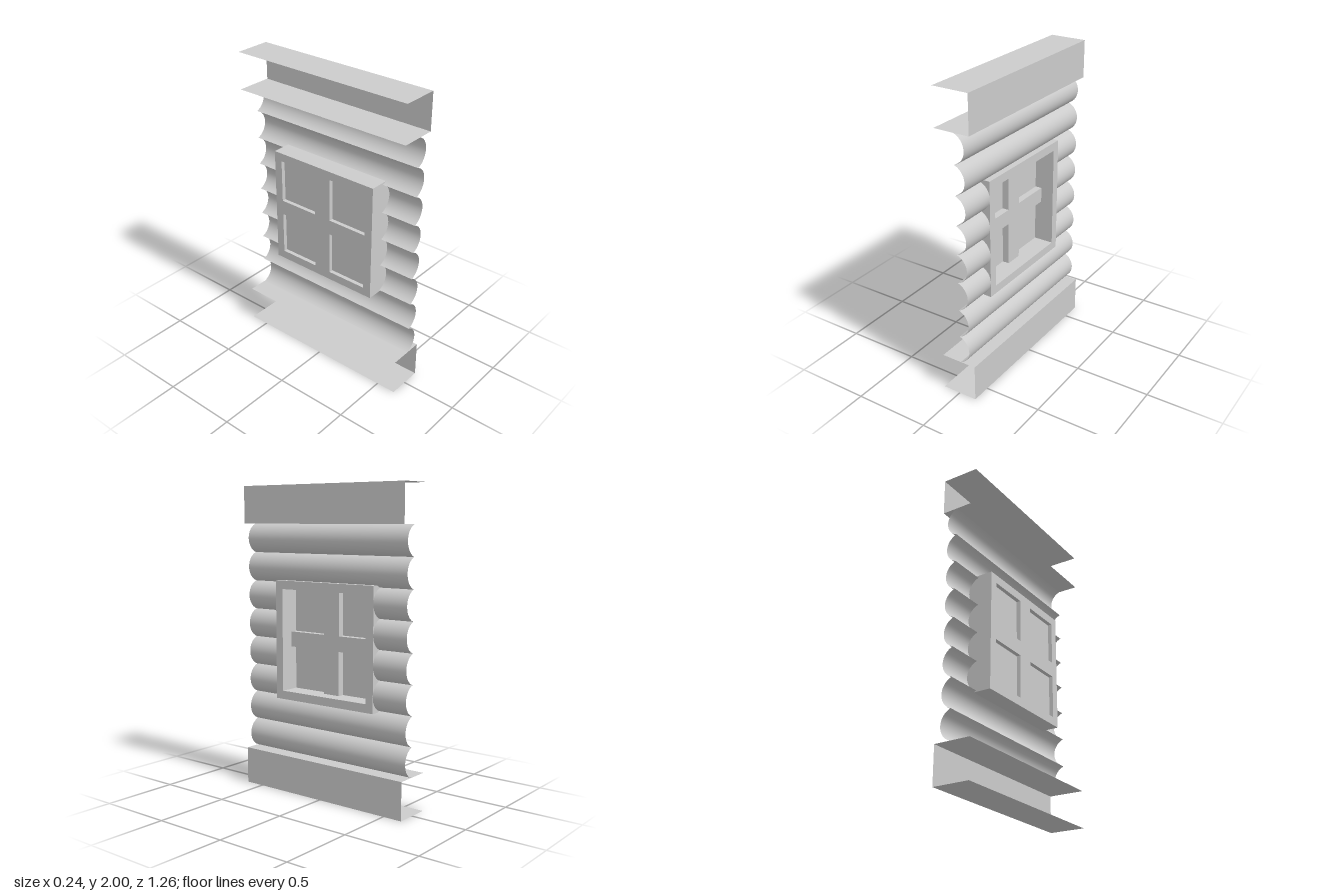
import * as THREE from 'three';

const solid = new THREE.MeshStandardMaterial({ color: 0xcccccc });
const sheet = new THREE.MeshStandardMaterial({ color: 0xcccccc, side: THREE.DoubleSide });

const LENGTH = 1.26, HALF = LENGTH / 2;   // panel extent along z
const RAIL_X = 0.12, RAIL_H = 0.243;      // channel rail half depth and height
const WIN = 0.39, OPEN = 0.335, WIN_Y = 1.003; // window outer and inner half size, centre
const FACE = 0.083;                       // half depth of the window frame

export function createModel() {
  const root = new THREE.Group();
  root.name = 'wallPanel';

  function add(parent, name, geometry, material, x = 0, y = 0, z = 0) {
    const mesh = new THREE.Mesh(geometry, material);
    mesh.name = name;
    mesh.position.set(x, y, z);
    parent.add(mesh);
    return mesh;
  }

  // Channel rails of thin sheet: web at +x, open towards -x
  for (const [name, y0] of [['bottomRail', 0], ['topRail', 2 - RAIL_H]]) {
    const rail = new THREE.Group();
    rail.name = name;
    root.add(rail);
    const web = new THREE.PlaneGeometry(LENGTH, RAIL_H).rotateY(Math.PI / 2);
    add(rail, 'web', web, sheet, RAIL_X, y0 + RAIL_H / 2);
    for (const y of [y0, y0 + RAIL_H]) {
      const flange = new THREE.PlaneGeometry(RAIL_X * 2, LENGTH).rotateX(-Math.PI / 2);
      add(rail, 'flange', flange, sheet, 0, y);
    }
  }

  // Corrugated sheet: eight arcs bulging to +x, the middle four cut out at the window
  const corrugation = new THREE.Group();
  corrugation.name = 'corrugatedSheet';
  root.add(corrugation);
  const count = 8, pitch = (2 - 2 * RAIL_H) / count, depth = 0.068;
  const radius = (pitch * pitch / 4 + depth * depth) / (2 * depth);
  const halfAngle = Math.asin(pitch / 2 / radius);
  function addArc(y, z0, z1) {
    const arc = new THREE.CylinderGeometry(radius, radius, z1 - z0, 20, 1, true,
      Math.PI / 2 - halfAngle, 2 * halfAngle).rotateX(Math.PI / 2);
    add(corrugation, 'wave', arc, sheet, FACE - radius, y, (z0 + z1) / 2);
  }
  for (let i = 0; i < count; i++) {
    const y = RAIL_H + (i + 0.5) * pitch;
    if (i >= 2 && i <= 5) {
      addArc(y, -HALF, -WIN);
      addArc(y, WIN, HALF);
    } else addArc(y, -HALF, HALF);
  }

  // Window: square frame, recessed pane and crossed bars
  const windowGroup = new THREE.Group();
  windowGroup.name = 'window';
  windowGroup.position.y = WIN_Y;
  root.add(windowGroup);

  const square = (s) => [[-s, -s], [s, -s], [s, s], [-s, s]].map(([x, y]) => new THREE.Vector2(x, y));
  const outline = new THREE.Shape(square(WIN));
  outline.holes.push(new THREE.Path(square(OPEN).reverse()));
  const frame = new THREE.ExtrudeGeometry(outline, { depth: FACE * 2, bevelEnabled: false });
  frame.translate(0, 0, -FACE).rotateY(Math.PI / 2);
  add(windowGroup, 'frame', frame, solid);

  add(windowGroup, 'pane', new THREE.BoxGeometry(0.006, OPEN * 2, OPEN * 2), solid, -0.053);

  // Cross-shaped bars, flush with the frame on the -x side
  const a = 0.06, b = 0.05;
  const cross = new THREE.Shape([
    [-a, -OPEN], [a, -OPEN], [a, -b], [OPEN, -b], [OPEN, b], [a, b],
    [a, OPEN], [-a, OPEN], [-a, b], [-OPEN, b], [-OPEN, -b], [-a, -b],
  ].map(([x, y]) => new THREE.Vector2(x, y)));
  const bars = new THREE.ExtrudeGeometry(cross, { depth: FACE - 0.005, bevelEnabled: false });
  bars.translate(0, 0, -FACE).rotateY(Math.PI / 2);
  add(windowGroup, 'crossBars', bars, solid);

  return root;
}
